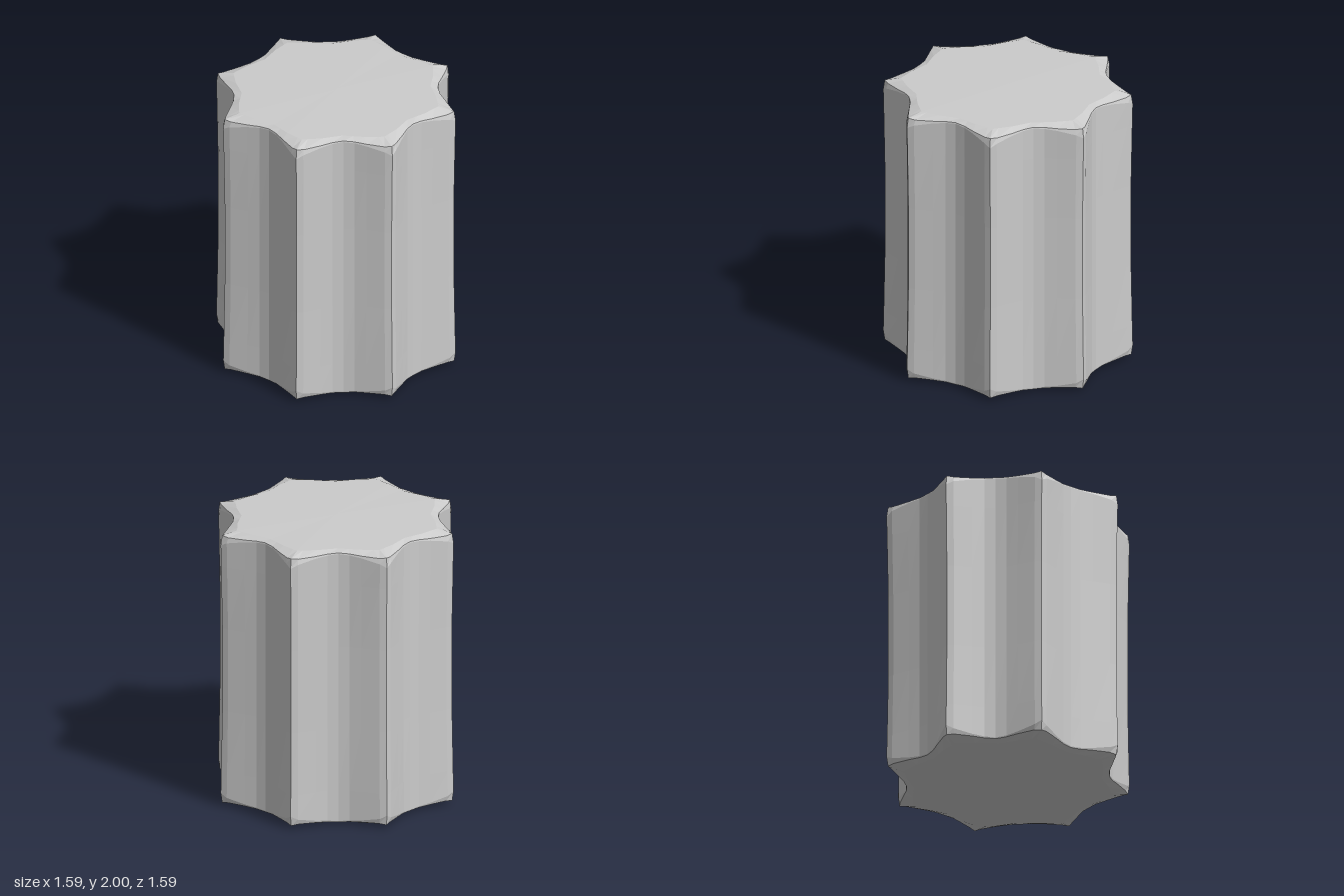
import * as THREE from 'three';

const FLUTES = 8;

// Half a flute, from valley (0 deg) to ridge (22.5 deg):
// [angle, body radius, body top y, rim radius, rim y, cap radius]
const HALF = [
  [0, 0.70, 1.975, 0.698, 1.983, 0.645],
  [6, 0.714, 1.968, 0.711, 1.978, 0.663],
  [12, 0.757, 1.957, 0.752, 1.972, 0.69],
  [19.6, 0.836, 1.93, 0.822, 1.968, 0.722],
  [22.5, 0.861, 1.905, 0.85, 1.975, 0.738],
];

// Mirror the half flute and repeat it around the drum
function columns() {
  const flute = [...HALF, ...HALF.slice(1, -1).reverse().map(([a, ...rest]) => [45 - a, ...rest])];
  const all = [];
  for (let i = 0; i < FLUTES; i++) {
    for (const [a, ...rest] of flute) all.push([THREE.MathUtils.degToRad(a + i * 45), ...rest]);
  }
  return all;
}

// One vertical line of points, bottom to top, symmetric about y = 1
function verticalLine([angle, body, bodyY, rim, rimY, cap]) {
  const bow = 0.012 * (body - 0.70) / 0.16; // the ridges are worn slightly inward at mid height
  const upper = [
    [body - bow, 1.3],
    [body - bow * 0.3, 1.75],
    [body, bodyY],
    [rim, rimY],
    [cap, 1.996],
    [0, 2],
  ];
  const lower = upper.map(([r, y]) => [r, 2 - y]).reverse();
  return [...lower, ...upper].map(([r, y]) => [r * Math.sin(angle), y, r * Math.cos(angle)]);
}

function drumGeometry() {
  const lines = columns().map(verticalLine);
  const rows = lines[0].length;
  const positions = lines.flat(2);
  const index = [];
  lines.forEach((_, i) => {
    const a = i * rows;
    const b = ((i + 1) % lines.length) * rows;
    for (let j = 0; j < rows - 1; j++) {
      if (j > 0) index.push(a + j, b + j, b + j + 1);
      if (j < rows - 2) index.push(a + j, b + j + 1, a + j + 1);
      else index.pop(), index.pop(), index.pop(), index.push(a + j, b + j, a + j + 1);
    }
  });
  const geometry = new THREE.BufferGeometry();
  geometry.setAttribute('position', new THREE.Float32BufferAttribute(positions, 3));
  geometry.setIndex(index);
  geometry.computeVertexNormals();
  return geometry;
}

export function createModel() {
  const group = new THREE.Group();
  group.name = 'flutedColumn';
  // Stone drum with eight hollow flutes and chipped, bevelled rims
  const material = new THREE.MeshStandardMaterial({ color: 0xcccccc, flatShading: true });
  const drum = new THREE.Mesh(drumGeometry(), material);
  drum.name = 'columnDrum';
  group.add(drum);
  return group;
}
